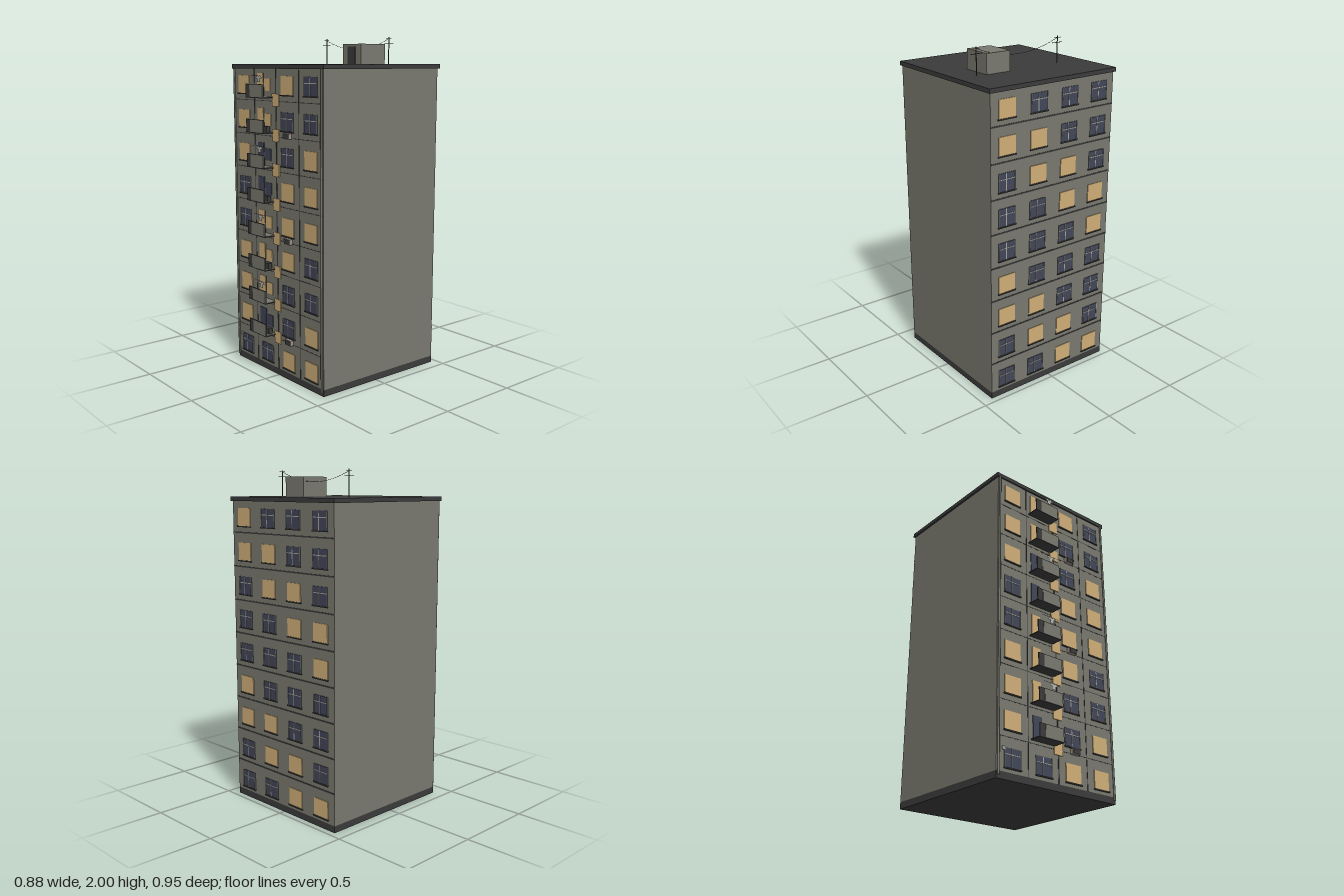
import * as THREE from 'three';

const mat = (name, color) => {
  const m = new THREE.MeshStandardMaterial({ color });
  m.name = name;
  return m;
};

export function createModel() {
  const wall = mat('concrete', 0x79796f);
  const dark = mat('dark trim', 0x3b3b3b);
  const lit = mat('lit window', 0xcfae78);
  const glass = mat('dark glass', 0x414657);
  const frame = mat('window frame', 0xa3a39c);
  const unit = mat('metal box', 0x9b9288);
  const cloth = mat('laundry', 0xb4b4b0);
  cloth.side = THREE.DoubleSide;

  const model = new THREE.Group();
  model.name = 'apartmentBlock';

  // box given by its min and max corners
  function box(name, material, x0, x1, y0, y1, z0, z1, parent = model) {
    const m = new THREE.Mesh(new THREE.BoxGeometry(x1 - x0, y1 - y0, z1 - z0), material);
    m.position.set((x0 + x1) / 2, (y0 + y1) / 2, (z0 + z1) / 2);
    m.name = name;
    parent.add(m);
    return m;
  }
  function group(name, x, y, z, parent = model) {
    const g = new THREE.Group();
    g.name = name;
    g.position.set(x, y, z);
    parent.add(g);
    return g;
  }

  const FRONT = 0.4, BACK = -0.465, STEP = 0.2013;
  const columns = [-0.323, -0.108, 0.108, 0.323];
  const floorY = (row) => 0.117 + (8 - row) * STEP; // window centre, row 0 on top

  // main volume
  box('plinth', dark, -0.43, 0.43, 0, 0.04, BACK, FRONT);
  box('walls', wall, -0.43, 0.43, 0.04, 1.82, BACK, FRONT);
  box('roofSlab', dark, -0.44, 0.44, 1.82, 1.845, -0.475, 0.408);

  // panel seams
  for (let i = 0; i < 8; i++) {
    const y = 0.228 + i * STEP;
    box('frontSeam', dark, -0.43, 0.43, y - 0.002, y + 0.002, FRONT, FRONT + 0.001);
    box('backSeam', dark, -0.43, 0.43, y - 0.004, y + 0.004, BACK - 0.002, BACK);
  }
  for (const x of [-0.215, 0, 0.215]) {
    const w = x === 0 ? 0.004 : 0.002;
    box('verticalSeam', dark, x - w, x + w, 0.04, 1.82, FRONT, FRONT + 0.002);
  }

  // drainpipes at the front corners
  for (const s of [-1, 1]) {
    const pipe = new THREE.Mesh(new THREE.CylinderGeometry(0.006, 0.006, 1.8, 8), wall);
    pipe.position.set(s * 0.42, 0.92, FRONT + 0.006);
    pipe.name = 'drainpipe';
    model.add(pipe);
  }

  // window with pane, casement bars and sill, facing +z
  function windowUnit(isLit) {
    const g = new THREE.Group();
    g.name = 'window';
    box('pane', isLit ? lit : glass, -0.056, 0.056, -0.052, 0.052, 0, 0.004, g);
    if (!isLit) {
      box('mullion', frame, -0.009, -0.004, -0.052, 0.052, 0.004, 0.006, g);
      box('transom', frame, -0.056, 0.056, 0.014, 0.019, 0.004, 0.006, g);
      for (const s of [-1, 1]) {
        box('jamb', frame, s * 0.0545 - 0.0015, s * 0.0545 + 0.0015, -0.052, 0.052, 0.004, 0.006, g);
      }
    }
    box('sill', dark, -0.06, 0.06, -0.059, -0.052, 0, 0.009, g);
    return g;
  }

  // 1 = lit, 0 = dark, - = balcony; columns run from -x to +x
  const frontRows = ['1-10', '1-00', '1-01', '0-11', '0-11', '1-10', '1-00', '1-01', '0011'];
  const backRows = ['0001', '0011', '0110', '1100', '1000'];
  for (let r = 0; r < 9; r++) {
    columns.forEach((x, c) => {
      const f = frontRows[r][c];
      if (f !== '-') {
        const w = windowUnit(f === '1');
        w.position.set(x, floorY(r), FRONT);
        model.add(w);
      }
      const b = windowUnit(backRows[r % 5][c] === '1');
      b.position.set(x, floorY(r), BACK);
      b.rotation.y = Math.PI;
      model.add(b);
    });
  }

  // stairwell windows between floors
  for (let i = 0; i < 8; i++) {
    const y = 0.235 + i * STEP;
    box('stairWindow', lit, -0.033, 0.031, y - 0.036, y + 0.036, FRONT, FRONT + 0.005);
  }

  // shirt outline hung above alternate balconies
  const shirt = new THREE.Shape([
    [-0.014, -0.02], [0.014, -0.02], [0.014, 0.004], [0.026, -0.004], [0.03, 0.006],
    [0.012, 0.018], [0.005, 0.013], [-0.005, 0.013], [-0.012, 0.018],
    [-0.03, 0.006], [-0.026, -0.004], [-0.014, 0.004],
  ].map(([x, y]) => new THREE.Vector2(x, y)));

  // balconies: slab and front parapet, open at the ends
  const litBalcony = [1, 1, 0, 0, 1, 1, 1, 0];
  litBalcony.forEach((isLit, r) => {
    const g = group('balcony', 0, floorY(r) - 0.073, 0);
    const pane = isLit ? lit : glass;
    box('balconyDoor', pane, -0.182, -0.122, 0.005, 0.141, FRONT, FRONT + 0.004, g);
    box('balconyWindow', pane, -0.108, -0.05, 0.04, 0.11, FRONT, FRONT + 0.004, g);
    box('doorEdge', dark, -0.122, -0.119, 0.005, 0.141, FRONT, FRONT + 0.003, g);
    box('slab', dark, -0.197, -0.024, 0, 0.006, FRONT, 0.475, g);
    box('floorFinish', wall, -0.155, -0.026, 0.006, 0.007, FRONT, 0.468, g);
    box('parapet', dark, -0.197, -0.024, 0.006, 0.079, 0.468, 0.4735, g);
    box('parapetFace', wall, -0.157, -0.027, 0.004, 0.076, 0.4735, 0.475, g);
    if (r % 2 === 0) {
      box('clothesLine', dark, -0.155, -0.03, 0.127, 0.1285, 0.46, 0.4615, g);
      const s = new THREE.Mesh(new THREE.ShapeGeometry(shirt), cloth);
      s.position.set(-0.08, 0.111, 0.4625);
      s.name = 'shirt';
      g.add(s);
    } else {
      box('storageBox', dark, -0.09, -0.04, 0.007, 0.04, 0.415, 0.44, g);
    }
  });

  // air conditioners under some windows
  for (const r of [1, 4, 7]) {
    const g = group('airConditioner', 0.119, floorY(r) - 0.079, FRONT);
    box('casing', unit, -0.028, 0.028, -0.016, 0.016, 0, 0.021, g);
    box('grille', dark, -0.024, 0.024, -0.013, 0.013, 0.021, 0.023, g);
  }

  // small plate by the corner window
  box('wallPlate', frame, -0.395, -0.375, 0.153, 0.172, FRONT + 0.004, FRONT + 0.008);

  // roof access cabin
  box('roofCabin', wall, 0.1, 0.258, 1.845, 1.96, -0.2, -0.015);
  box('cabinDoor', dark, 0.146, 0.21, 1.845, 1.945, -0.015, -0.01);

  // antennas and the sagging wire between them
  for (const x of [-0.255, 0.312]) {
    const g = group('antenna', x, 1.845, -0.18);
    box('mast', dark, -0.002, 0.002, 0, 0.155, -0.002, 0.002, g);
    box('lowerBar', dark, -0.036, 0.036, 0.115, 0.118, -0.0015, 0.0015, g);
    box('upperBar', dark, -0.022, 0.022, 0.143, 0.146, -0.0015, 0.0015, g);
  }
  const curve = new THREE.QuadraticBezierCurve3(
    new THREE.Vector3(-0.255, 1.99, -0.18),
    new THREE.Vector3(0.03, 1.87, -0.18),
    new THREE.Vector3(0.312, 1.99, -0.18));
  const wire = new THREE.Mesh(new THREE.TubeGeometry(curve, 24, 0.0012, 5), dark);
  wire.name = 'wire';
  model.add(wire);

  return model;
}
